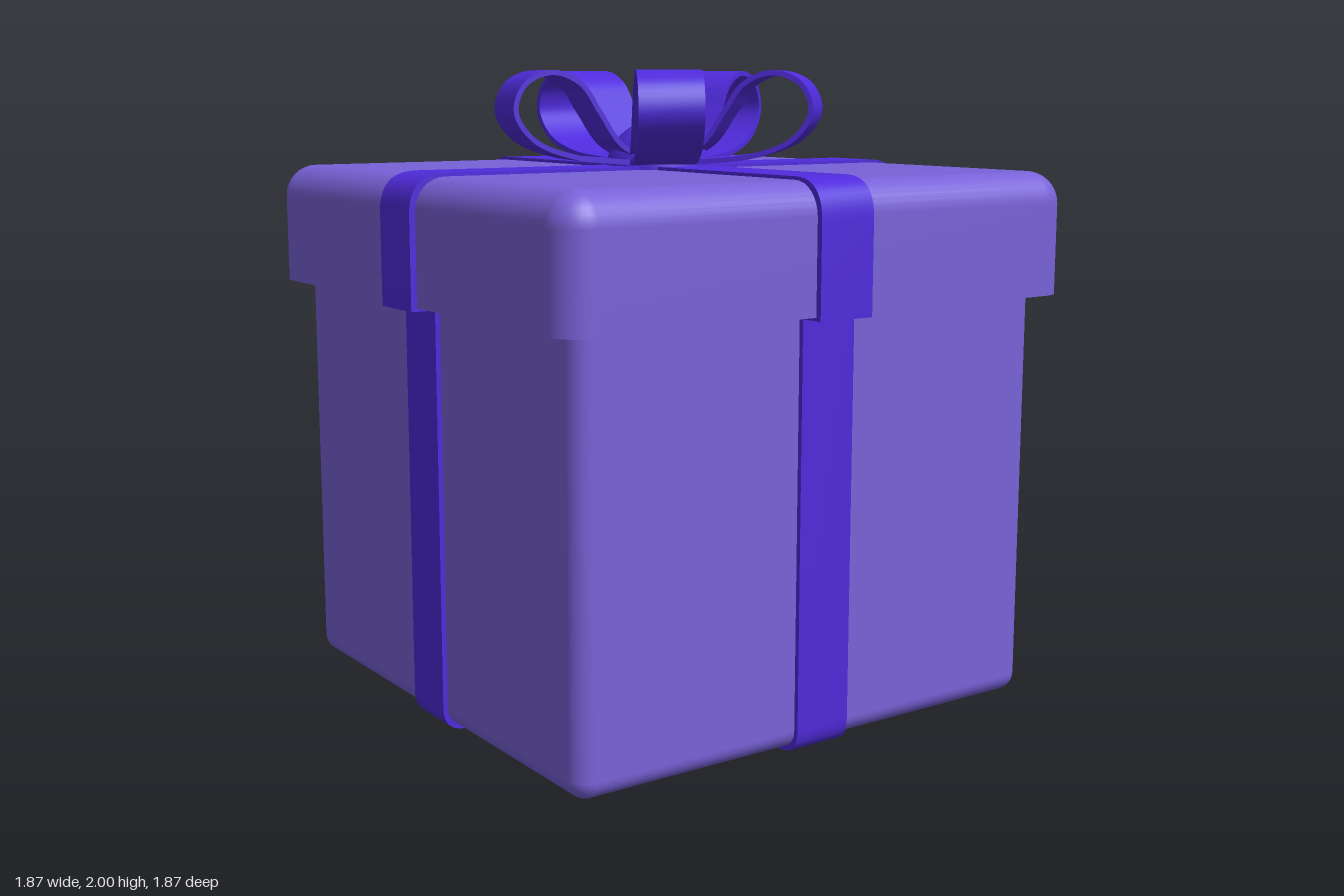
import * as THREE from 'three';
import { toCreasedNormals } from 'three/addons/utils/BufferGeometryUtils.js';

const paper = new THREE.MeshStandardMaterial({ color: 0x7862d8 });
const satin = new THREE.MeshStandardMaterial({ color: 0x4f2bdc });
const RIBBON = 0.19;

function add(parent, name, geometry, material) {
  const mesh = new THREE.Mesh(geometry, material);
  mesh.name = name;
  parent.add(mesh);
  return mesh;
}

// Square block standing on y = 0: flat sharp base, all other edges rounded by r
function roundedBlock(half, height, r, steps = 8) {
  const rings = [[0, 0, 0], [half, r, 0], [half, r, 0]]; // half width, corner radius, y
  for (let j = 0; j <= steps; j++) {
    const t = (j / steps) * Math.PI / 2;
    const c = r * Math.cos(t);
    rings.push([half - r + c, c, height - r + r * Math.sin(t)]);
  }
  rings.push([0, 0, height]);

  const positions = [], index = [], n = 4 * (steps + 1);
  for (const [h, c, y] of rings) {
    for (let q = 0; q < 4; q++) {
      const mid = (q + 0.5) * Math.PI / 2;
      for (let k = 0; k <= steps; k++) {
        const a = (q + k / steps) * Math.PI / 2;
        positions.push(
          Math.sign(Math.cos(mid)) * (h - c) + c * Math.cos(a),
          y,
          -Math.sign(Math.sin(mid)) * (h - c) - c * Math.sin(a));
      }
    }
  }
  for (let j = 0; j < rings.length - 1; j++) {
    for (let i = 0; i < n; i++) {
      const a = j * n + i, b = j * n + (i + 1) % n;
      index.push(a, b, b + n, a, b + n, a + n);
    }
  }
  const g = new THREE.BufferGeometry();
  g.setAttribute('position', new THREE.Float32BufferAttribute(positions, 3));
  g.setIndex(index);
  g.computeVertexNormals();
  return g;
}

// Extrude a flat outline into a band centred on z = 0
function band(shape, width) {
  const g = new THREE.ExtrudeGeometry(shape, { depth: width, bevelEnabled: false, curveSegments: 10 });
  g.translate(0, 0, -width / 2);
  return toCreasedNormals(g, 0.6);
}

// Ribbon wrap: profile rounded at its closed end (yEnd), square at yOpen
function wrapGeometry(half, yOpen, yEnd, r) {
  const d = Math.sign(yEnd - yOpen) * r;
  const s = new THREE.Shape();
  s.moveTo(-half, yOpen);
  s.lineTo(half, yOpen);
  s.lineTo(half, yEnd - d);
  s.quadraticCurveTo(half, yEnd, half - r, yEnd);
  s.lineTo(-half + r, yEnd);
  s.quadraticCurveTo(-half, yEnd, -half, yEnd - d);
  s.closePath();
  return band(s, RIBBON);
}

// Teardrop bow loop pointing along +x
function loopGeometry() {
  const path = [
    [0.03, 1.712], [0.18, 1.716], [0.33, 1.735], [0.45, 1.785], [0.507, 1.87], [0.475, 1.955],
    [0.385, 1.99], [0.295, 1.955], [0.235, 1.87], [0.165, 1.77], [0.09, 1.728],
  ].map(([x, y]) => new THREE.Vector3(x, y, 0));
  const curve = new THREE.CatmullRomCurve3(path, true);
  const outer = [], inner = [], count = 72, thick = 0.008;
  for (let i = 0; i < count; i++) {
    const p = curve.getPointAt(i / count), t = curve.getTangentAt(i / count);
    outer.push(new THREE.Vector2(p.x + t.y * thick, p.y - t.x * thick));
    inner.push(new THREE.Vector2(p.x - t.y * thick, p.y + t.x * thick));
  }
  const shape = new THREE.Shape(outer);
  shape.holes.push(new THREE.Path(inner));
  return band(shape, 0.196);
}

export function createModel() {
  const root = new THREE.Group();
  root.name = 'giftBox';

  // Box body, rounded end down, and lid
  const body = add(root, 'boxBody', roundedBlock(0.845, 1.4, 0.06), paper);
  body.rotation.z = Math.PI;
  body.position.y = 1.415;
  const lid = add(root, 'lid', roundedBlock(0.918, 0.38, 0.1), paper);
  lid.position.y = 1.31;

  // Crossed ribbons around body and lid
  const bodyWrap = wrapGeometry(0.86, 1.4, 0, 0.08);
  const lidWrap = wrapGeometry(0.937, 1.3, 1.7, 0.12);
  for (let i = 0; i < 2; i++) {
    add(root, 'bodyRibbon', bodyWrap, satin).rotation.y = i * Math.PI / 2;
    add(root, 'lidRibbon', lidWrap, satin).rotation.y = i * Math.PI / 2;
  }

  // Bow: five loops round a domed knot
  const bow = new THREE.Group();
  bow.name = 'bow';
  root.add(bow);
  const loop = loopGeometry();
  for (let i = 0; i < 5; i++) {
    add(bow, 'bowLoop', loop, satin).rotation.y = -THREE.MathUtils.degToRad(48 + 72 * i);
  }
  const knot = add(bow, 'bowKnot', new THREE.SphereGeometry(0.168, 32, 20), satin);
  knot.position.y = 1.677;

  return root;
}
